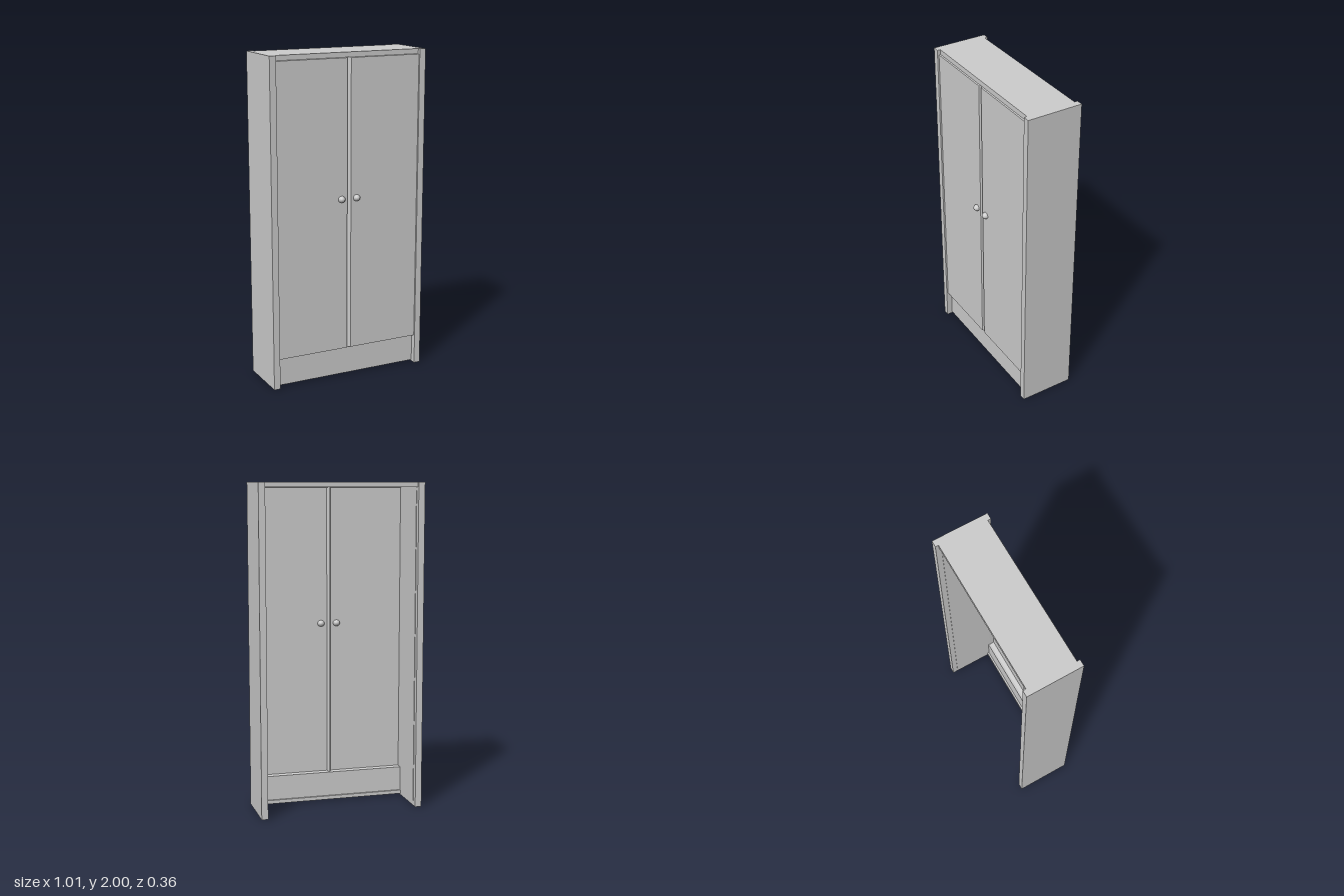
import * as THREE from 'three';

export function createModel() {
  const group = new THREE.Group();
  const material = new THREE.MeshStandardMaterial({ color: 0xcccccc });
  const sheet = new THREE.MeshStandardMaterial({ color: 0xcccccc, side: THREE.DoubleSide });

  function add(name, geometry, mat = material) {
    const mesh = new THREE.Mesh(geometry, mat);
    mesh.name = name;
    group.add(mesh);
    return mesh;
  }

  // Box given by its lower and upper bounds on each axis
  function box(name, [x0, x1], [y0, y1], [z0, z1]) {
    const mesh = add(name, new THREE.BoxGeometry(x1 - x0, y1 - y0, z1 - z0));
    mesh.position.set((x0 + x1) / 2, (y0 + y1) / 2, (z0 + z1) / 2);
  }

  // Thin open-backed tray: a front face with four edges sloping back to a rim
  function tray(front, rim) {
    const corners = ({ x: [x0, x1], y: [y0, y1], z }) =>
      [[x0, y0, z], [x1, y0, z], [x1, y1, z], [x0, y1, z]];
    const index = [0, 1, 2, 0, 2, 3];
    for (let i = 0; i < 4; i++) {
      const j = (i + 1) % 4;
      index.push(i, i + 4, j + 4, i, j + 4, j);
    }
    const indexed = new THREE.BufferGeometry();
    const vertices = [...corners(front), ...corners(rim)].flat();
    indexed.setAttribute('position', new THREE.Float32BufferAttribute(vertices, 3));
    indexed.setIndex(index);
    const geometry = indexed.toNonIndexed();
    geometry.computeVertexNormals();
    return geometry;
  }

  const inner = 0.467, outer = 0.507;

  // Carcass: top board and plinth between the sides, back left open
  box('topBoard', [-inner, inner], [1.97, 2], [-0.16, 0.143]);
  box('plinth', [-inner, inner], [0.008, 0.182], [0.112, 0.126]);
  box('plinthLip', [-inner, inner], [0.008, 0.03], [0.1, 0.126]);

  for (const s of [1, -1]) {
    const side = s > 0 ? 'left' : 'right';
    const span = (a, b) => [Math.min(s * a, s * b), Math.max(s * a, s * b)];

    // Side board with a slightly raised inner panel
    box(side + 'SideBoard', span(inner, outer), [0, 2], [-0.179, 0.162]);
    box(side + 'InnerPanel', span(inner - 0.003, inner + 0.001), [0.03, 1.95], [-0.145, 0.1]);

    // Door: the sloping edges of the pair meet in a V-groove at the middle
    add(side + 'Door', tray(
      { x: span(0.012, inner), y: [0.184, 1.968], z: 0.152 },
      { x: span(0, inner - 0.001), y: [0.178, 1.972], z: 0.123 },
    ), sheet);

    // Rounded knob passing through the door, showing on both faces
    const knob = add(side + 'Knob', new THREE.SphereGeometry(1, 12, 8));
    knob.scale.set(0.022, 0.02, 0.026);
    knob.position.set(s * 0.05, 1.13, 0.152);
  }
  return group;
}
